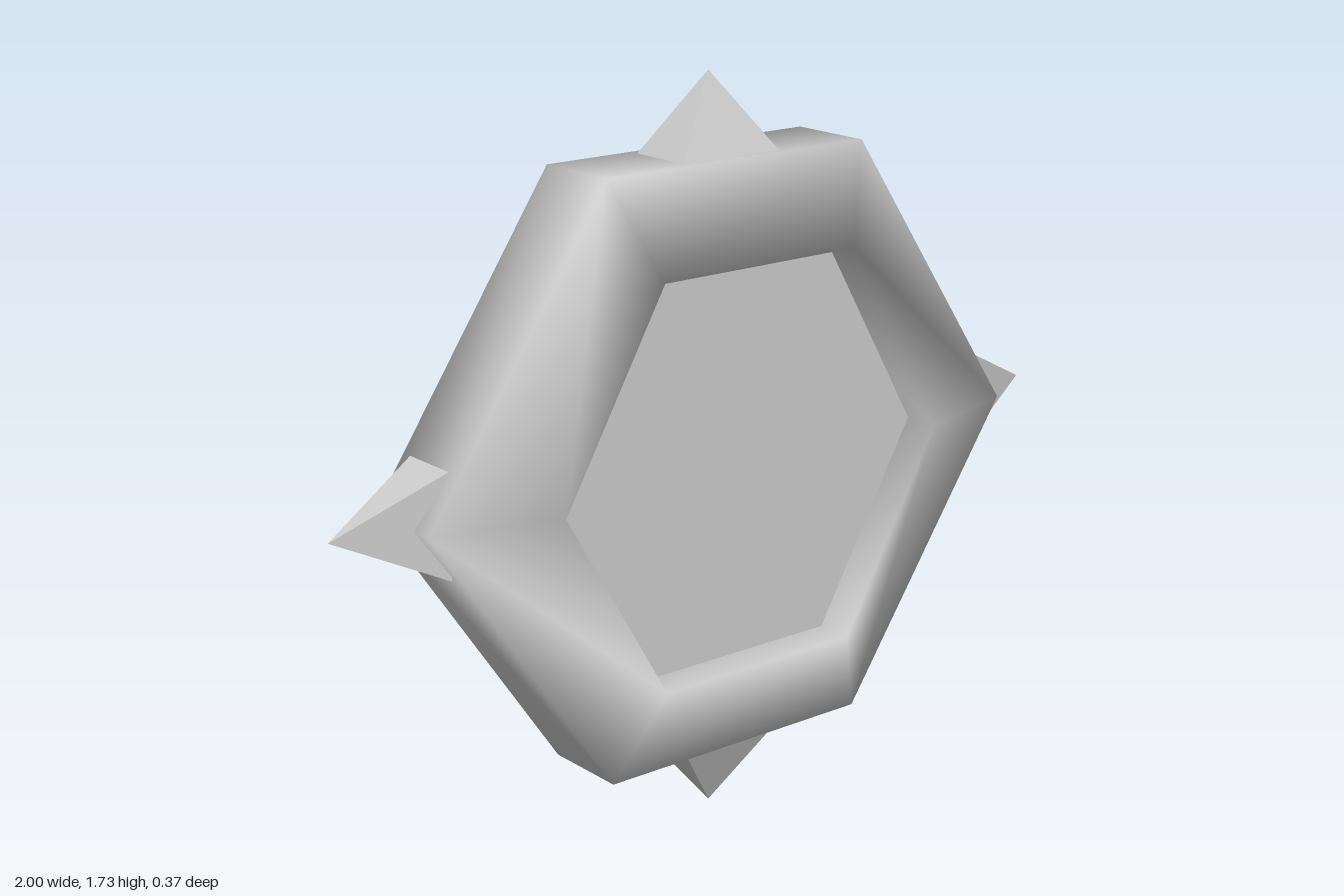
import * as THREE from 'three';

const CENTER_Y = 0.867;

// Six corners of a hexagon with corners at +-a on x and (+-b, +-c) above and below
const hex = (a, b, c) => [[a, 0], [b, c], [-b, c], [-a, 0], [-b, -c], [b, -c]];

// Smooth hexagonal frame: four hexagonal loops joined into a closed band
function frameGeometry() {
  const outer = hex(0.825, 0.36, 0.687);
  const inner = hex(0.535, 0.268, 0.465);
  const loops = [[outer, -0.105], [outer, 0.105], [inner, 0.185], [inner, -0.185]];
  const positions = [];
  const index = [];
  for (const [corners, z] of loops) {
    for (const [x, y] of corners) positions.push(x, y, z);
  }
  for (let l = 0; l < 4; l++) {
    for (let i = 0; i < 6; i++) {
      const j = (i + 1) % 6;
      const m = (l + 1) % 4;
      const a = l * 6 + i, b = l * 6 + j, c = m * 6 + j, d = m * 6 + i;
      index.push(a, b, c, a, c, d);
    }
  }
  const geometry = new THREE.BufferGeometry();
  geometry.setAttribute('position', new THREE.Float32BufferAttribute(positions, 3));
  geometry.setIndex(index);
  geometry.computeVertexNormals();
  return geometry;
}

// Four-sided spike pointing up, with its base on y = 0
function spikeGeometry(width, height, depth) {
  const geometry = new THREE.ConeGeometry(Math.SQRT1_2, 1, 4).toNonIndexed();
  geometry.rotateY(Math.PI / 4);
  geometry.translate(0, 0.5, 0);
  geometry.scale(width, height, depth);
  geometry.computeVertexNormals();
  return geometry;
}

export function createModel() {
  const model = new THREE.Group();
  const grey = new THREE.MeshStandardMaterial({ color: 0xcccccc });
  grey.name = 'grey';

  const add = (name, geometry) => {
    const mesh = new THREE.Mesh(geometry, grey);
    mesh.name = name;
    mesh.position.y = CENTER_Y;
    model.add(mesh);
    return mesh;
  };

  add('frame', frameGeometry());

  // Flat panel recessed inside the frame on both faces
  const shape = new THREE.Shape(hex(0.535, 0.268, 0.465).map(([x, y]) => new THREE.Vector2(x, y)));
  const panel = new THREE.ExtrudeGeometry(shape, { depth: 0.19, bevelEnabled: false });
  panel.translate(0, 0, -0.095);
  add('panel', panel);

  // Spikes above, below and at both sides
  for (const side of [1, -1]) {
    const upright = add(side > 0 ? 'topSpike' : 'bottomSpike', spikeGeometry(0.27, 0.182, 0.165));
    upright.position.y += side * 0.685;
    upright.rotation.z = side > 0 ? 0 : Math.PI;

    const lateral = add(side > 0 ? 'leftSpike' : 'rightSpike', spikeGeometry(0.24, 0.25, 0.145));
    lateral.position.x = side * 0.75;
    lateral.rotation.z = -side * Math.PI / 2;
  }
  return model;
}
